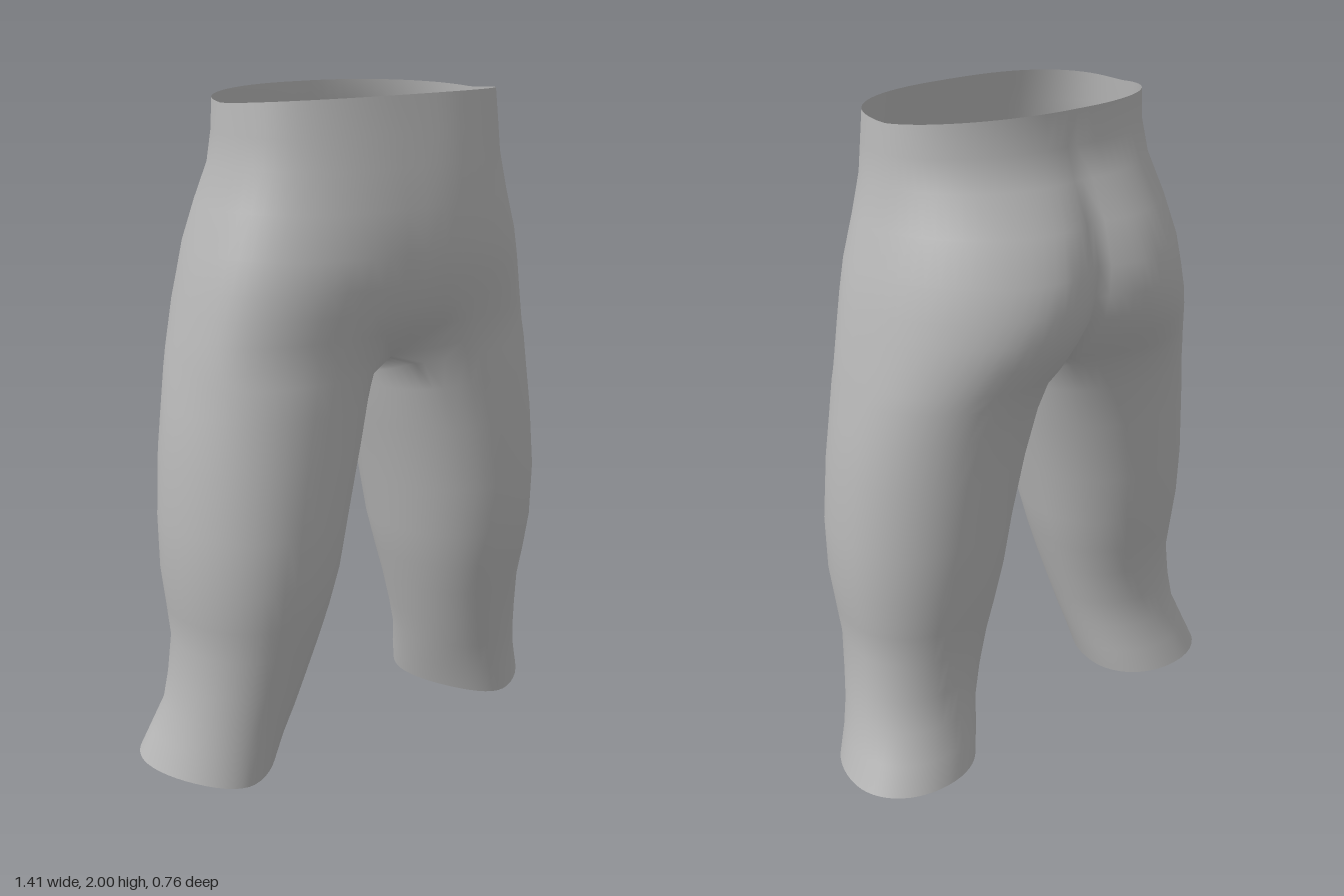
import * as THREE from 'three';
import { mergeVertices } from 'three/addons/utils/BufferGeometryUtils.js';

const OUTER = 36, INNER = 16, COLS = OUTER + INNER;
const pow = (v, p) => Math.sign(v) * Math.abs(v) ** p; // p under 1 squares an ellipse
const lerp = THREE.MathUtils.lerp;

// Hip sections: y, outer x, front z, back z, middle z,
// centre x of front arc, centre x of back arc, front power, back power, groin dip
const hips = [
  [1.98, 0.443, 0.312, -0.24, 0.04, 0, 0.03, 0.78, 1.0, 0],
  [1.90, 0.449, 0.33, -0.238, 0.04, 0, 0.05, 0.8, 1.01, 0],
  [1.81, 0.457, 0.348, -0.268, 0.04, 0, 0.08, 0.83, 1.03, 0],
  [1.70, 0.488, 0.366, -0.33, 0.04, 0, 0.12, 0.87, 1.06, 0],
  [1.58, 0.524, 0.378, -0.374, 0.04, 0, 0.15, 0.87, 1.09, 0],
  [1.49, 0.545, 0.365, -0.38, 0.04, 0.01, 0.17, 0.85, 1.09, 0],
  [1.42, 0.56, 0.347, -0.373, 0.035, 0.03, 0.19, 0.82, 1.07, 0],
  [1.35, 0.573, 0.327, -0.35, 0.03, 0.06, 0.22, 0.78, 1.04, 0.15],
  [1.28, 0.587, 0.312, -0.315, 0.02, 0.1, 0.25, 0.75, 1.0, 1],
];
// Leg sections: y, outer x, front z, back z, middle z, inner x, front power, back power
const legs = [
  [1.20, 0.602, 0.306, -0.28, 0.01, 0.003, 0.87, 1.0],
  [1.12, 0.615, 0.306, -0.264, 0.01, 0.015, 0.89, 1.0],
  [1.00, 0.632, 0.31, -0.25, 0.01, 0.042, 0.9, 1.0],
  [0.80, 0.645, 0.315, -0.234, 0.01, 0.093, 0.9, 1.0],
  [0.64, 0.644, 0.305, -0.215, 0.01, 0.123, 0.91, 0.98],
  [0.52, 0.63, 0.285, -0.195, 0.01, 0.156, 0.92, 0.96],
  [0.42, 0.62, 0.263, -0.178, 0.01, 0.185, 0.94, 0.95],
  [0.30, 0.632, 0.24, -0.175, 0, 0.22, 0.97, 0.95],
  [0.20, 0.645, 0.222, -0.187, -0.01, 0.25, 1.0, 0.95],
  [0.11, 0.675, 0.208, -0.215, -0.04, 0.272, 1.05, 0.95],
  [0.025, 0.707, 0.2, -0.24, -0.06, 0.295, 1.08, 0.95],
];

// Outer arc runs from the front middle, round the outside, to the back middle
function hipRing([y, xo, zf, zb, cz, cf, cb, pf, pb, dip], row) {
  const end = (c, p) => Math.acos(-((c / (xo - c)) ** (1 / p)));
  const aF = end(cf, pf), aB = end(cb, pb), ring = [];
  for (let j = 0; j <= OUTER; j++) {
    const a = lerp(aF, -aB, j / OUTER), [c, p] = a > 0 ? [cf, pf] : [cb, pb];
    const s = pow(Math.sin(a), p);
    const x = j % OUTER === 0 ? 0 : c + (xo - c) * pow(Math.cos(a), p);
    const lift = row === 0 ? 0.02 * Math.abs(s) : 0; // waist edge
    const groin = s > 0 ? dip * Math.max(0, 1 - x / 0.16) : 0;
    ring.push(new THREE.Vector3(x, y + lift - 0.03 * groin,
      cz + (s > 0 ? zf - cz : cz - zb) * s - 0.09 * groin));
  }
  // Crotch curve on the middle plane, from back to front
  const curve = new THREE.CatmullRomCurve3([
    ring[OUTER], new THREE.Vector3(0, 1.215, -0.1),
    new THREE.Vector3(0, 1.205, 0.07), ring[0],
  ]);
  for (let j = 1; j < INNER; j++) ring.push(curve.getPoint(j / INNER));
  return ring;
}

function legRing([y, xo, zf, zb, cz, xi, pf, pb], row) {
  const aF = 115 * Math.PI / 180, aB = 140 * Math.PI / 180;
  const cx = (xo + xi) / 2, rx = (xo - xi) / 2, ring = [];
  for (let j = 0; j < COLS; j++) {
    const a = j <= OUTER ? lerp(aF, -aB, j / OUTER)
      : lerp(-aB, aF - 2 * Math.PI, (j - OUTER) / INNER);
    const p = Math.sin(a) > 0 ? pf : pb;
    const s = pow(Math.sin(a), p);
    const wave = row === legs.length - 1 ? 0.025 * Math.max(0, s) ** 4 : 0; // hem edge
    ring.push(new THREE.Vector3(cx + rx * pow(Math.cos(a), p), y - wave,
      cz + (s > 0 ? zf - cz : cz - zb) * s));
  }
  // The upper thigh follows the sloping groin instead of a level ring
  if (row < 2) {
    const crotch = hipRing(hips[hips.length - 1]), k = row === 0 ? 0.42 : 0.12;
    ring.forEach((p, j) => p.lerp(crotch[j], k));
    for (let j = OUTER; j < COLS; j++) ring[j].y = Math.min(ring[j].y, crotch[j].y - 0.02);
  }
  return ring;
}

export function createModel() {
  const group = new THREE.Group();
  group.name = 'trousers';
  const rings = [...hips.map(hipRing), ...legs.map(legRing)];
  const positions = [], index = [];

  // Both halves share the vertices on the middle plane
  for (const side of [1, -1]) {
    const base = positions.length / 3;
    for (const ring of rings) for (const p of ring) positions.push(side * p.x, p.y, p.z);
    for (let r = 0; r < rings.length - 1; r++) {
      const cols = r < hips.length - 1 ? OUTER : COLS; // hips stay open inside
      for (let j = 0; j < cols; j++) {
        const a = base + r * COLS + j, b = base + r * COLS + (j + 1) % COLS;
        const c = a + COLS, d = b + COLS;
        if (side > 0) index.push(a, c, b, b, c, d);
        else index.push(a, b, c, b, d, c);
      }
    }
  }
  let geometry = new THREE.BufferGeometry();
  geometry.setAttribute('position', new THREE.Float32BufferAttribute(positions, 3));
  geometry.setIndex(index);
  geometry = mergeVertices(geometry, 1e-4);
  geometry.computeVertexNormals();

  const cloth = new THREE.MeshStandardMaterial({ color: 0xb8b8b8, side: THREE.DoubleSide });
  cloth.name = 'grey cloth';
  const mesh = new THREE.Mesh(geometry, cloth);
  mesh.name = 'trouserShell';
  group.add(mesh);
  return group;
}
